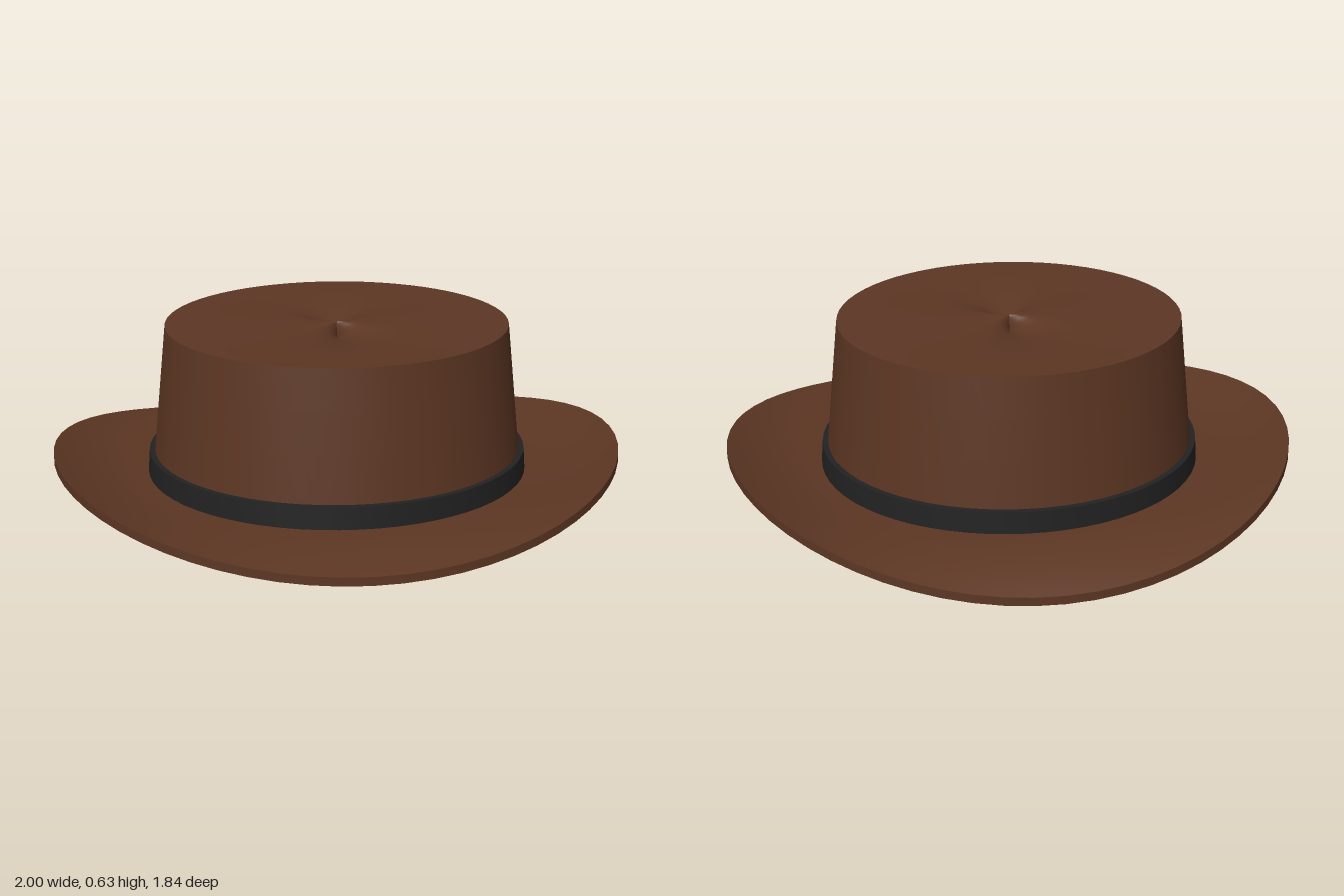
import * as THREE from 'three';

const SEGMENTS = 64;

// Smooth ring surface; every row maps an angle (0 = front, PI/2 = left) to [x, y, z].
// Rows that climb upward or run inward on top face outward.
function ringSurface(name, rows, material) {
  const positions = [], index = [];
  for (const row of rows) {
    for (let j = 0; j < SEGMENTS; j++) positions.push(...row((j / SEGMENTS) * Math.PI * 2));
  }
  for (let i = 0; i < rows.length - 1; i++) {
    for (let j = 0; j < SEGMENTS; j++) {
      const k = (j + 1) % SEGMENTS;
      const a = i * SEGMENTS + j, b = i * SEGMENTS + k;
      const c = a + SEGMENTS, d = b + SEGMENTS;
      index.push(a, b, c, b, d, c);
    }
  }
  const geometry = new THREE.BufferGeometry();
  geometry.setAttribute('position', new THREE.Float32BufferAttribute(positions, 3));
  geometry.setIndex(index);
  geometry.computeVertexNormals();
  const mesh = new THREE.Mesh(geometry, material);
  mesh.name = name;
  return mesh;
}

const lerp = THREE.MathUtils.lerp;
const steps = (n, make) => Array.from({ length: n + 1 }, (_, i) => make(i / n));

// Flat oval row with half-widths rx, rz
const oval = (rx, rz, y) => (a) => [rx * Math.sin(a), y, rz * Math.cos(a)];

// Brim row: t runs from the crown (0) to the rim (1); sides curl up, front and back dip
const brimRow = (t, lift) => (a) => {
  const side = Math.sin(a) ** 2;
  const dip = Math.cos(a) > 0 ? -0.037 : -0.072;
  const bend = lerp(dip, 0.097, side);
  return [
    lerp(0.65, 1, t) * Math.sin(a),
    0.073 + lift + bend * t * t,
    lerp(0.605, 0.92, t) * Math.cos(a),
  ];
};

// Crown top row: s runs from the edge (1) to the centre (0), with a pinched crease front to back
const topRow = (s) => (a) => {
  const crease = 0.06 * Math.cos(a) ** 4 * (1 - s) ** 2;
  return [0.6 * s * Math.sin(a), 0.63 - crease, 0.56 * s * Math.cos(a)];
};

export function createModel() {
  const felt = new THREE.MeshStandardMaterial({ color: 0x5c3623, side: THREE.DoubleSide });
  felt.name = 'brown felt';
  const ribbon = new THREE.MeshStandardMaterial({ color: 0x222222, side: THREE.DoubleSide });
  ribbon.name = 'black ribbon';

  const hat = new THREE.Group();
  hat.name = 'hat';

  // Curved brim with a thin rim
  const brim = new THREE.Group();
  brim.name = 'brim';
  brim.add(
    ringSurface('brimUnderside', steps(10, (t) => brimRow(t, 0)), felt),
    ringSurface('brimRim', [brimRow(1, 0), brimRow(1, 0.03)], felt),
    ringSurface('brimTop', steps(10, (t) => brimRow(1 - t, 0.03)), felt),
  );

  // Hollow tapered crown, open at the bottom
  const crown = new THREE.Group();
  crown.name = 'crown';
  crown.add(
    ringSurface('crownWall', steps(4, (t) =>
      oval(lerp(0.66, 0.6, t), lerp(0.615, 0.56, t), lerp(0.056, 0.63, t))), felt),
    ringSurface('crownTop', steps(16, (t) => topRow(Math.max(1 - t, 0.002))), felt),
  );

  // Ribbon band around the foot of the crown
  const band = new THREE.Group();
  band.name = 'band';
  band.add(
    ringSurface('bandOutside', [oval(0.675, 0.63, 0.061), oval(0.666, 0.624, 0.18)], ribbon),
    ringSurface('bandTop', [oval(0.666, 0.624, 0.18), oval(0.645, 0.602, 0.18)], ribbon),
    ringSurface('bandBottom', [oval(0.658, 0.613, 0.061), oval(0.675, 0.63, 0.061)], ribbon),
  );

  hat.add(brim, crown, band);
  return hat;
}
